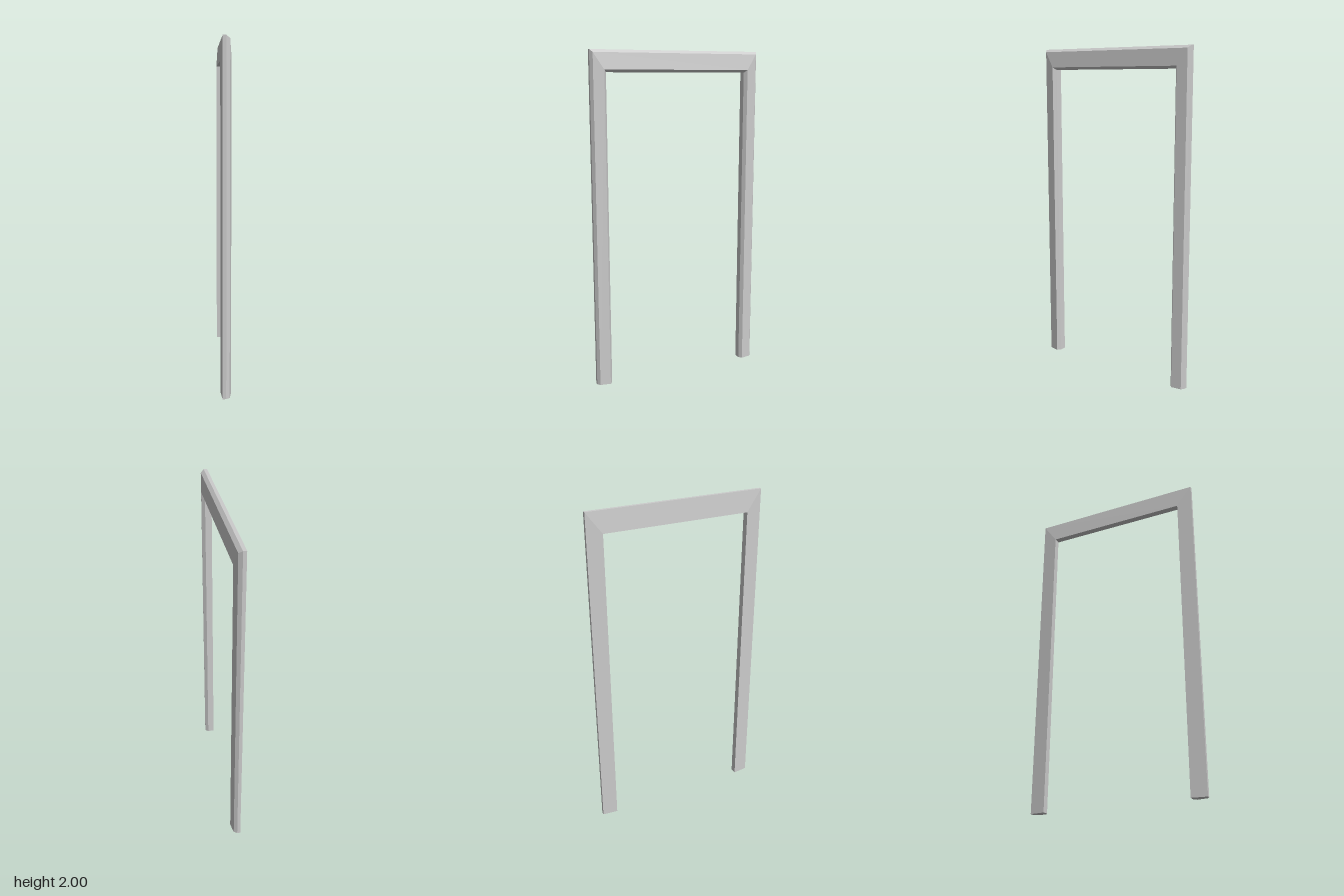
import * as THREE from 'three';

// Moulding cross-section: [x, inset from the outer side, inset from the top]
const PROFILE = [
  [-0.02, 0, 0],
  [0, 0, 0],
  [0.02, 0.014, 0.016],
  [0.03, 0.077, 0.111],
  [0.01, 0.093, 0.126],
  [-0.03, 0.093, 0.126],
];
const HALF_WIDTH = 0.543;
const HEIGHT = 2;

// One cross-section, on the side given by sign, at the foot or at the mitred corner
function section(sign, atFoot) {
  return PROFILE.map(([x, side, top]) =>
    [x, atFoot ? 0 : HEIGHT - top, sign * (HALF_WIDTH - side)]);
}

// Flat-shaded prism between two cross-sections, with optional end caps
function moulding(name, a, b, material, capStart, capEnd) {
  const pos = [];
  const tri = (...points) => points.forEach((p) => pos.push(...p));
  const n = a.length;
  for (let i = 0; i < n; i++) {
    const j = (i + 1) % n;
    tri(a[i], a[j], b[j]);
    tri(a[i], b[j], b[i]);
  }
  for (let i = 1; i < n - 1; i++) {
    if (capStart) tri(a[0], a[i + 1], a[i]);
    if (capEnd) tri(b[0], b[i], b[i + 1]);
  }
  const geometry = new THREE.BufferGeometry();
  geometry.setAttribute('position', new THREE.Float32BufferAttribute(pos, 3));
  geometry.computeVertexNormals();
  const mesh = new THREE.Mesh(geometry, material);
  mesh.name = name;
  return mesh;
}

export function createModel() {
  const group = new THREE.Group();
  group.name = 'doorFrame';
  const material = new THREE.MeshStandardMaterial({ color: 0xcccccc, flatShading: true });

  // Up the front jamb, across the lintel, down the back jamb
  const path = [section(1, true), section(1, false), section(-1, false), section(-1, true)];
  group.add(
    moulding('frontJamb', path[0], path[1], material, true, false),
    moulding('lintel', path[1], path[2], material, false, false),
    moulding('backJamb', path[2], path[3], material, false, true),
  );
  return group;
}
